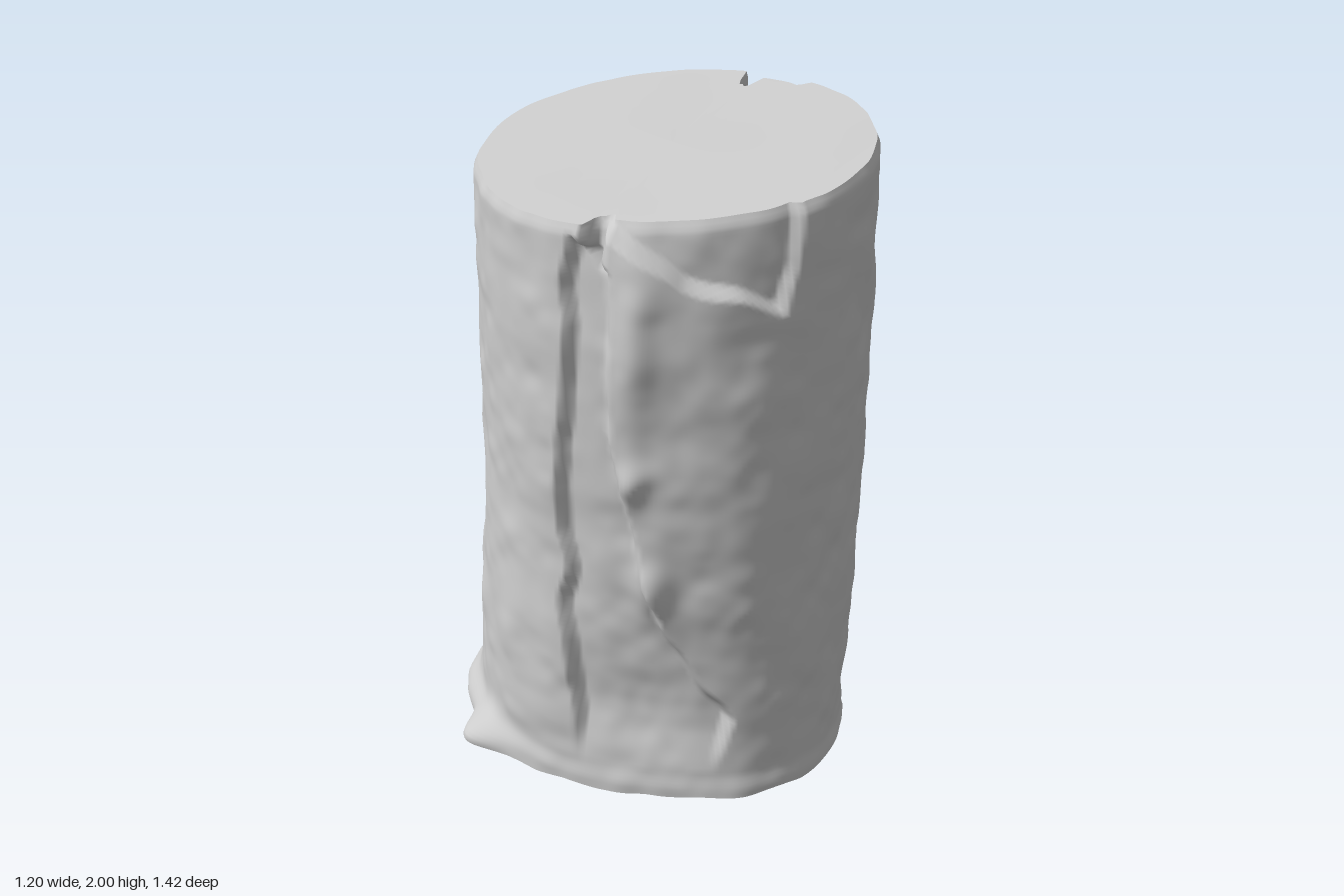
import * as THREE from 'three';

const SEG = 280, ROWS = 150;
const RAD = Math.PI / 180, ARC = 0.58;   // ARC turns an angle into surface distance
const { lerp, smoothstep } = THREE.MathUtils;

// Outlines on the unrolled bark: [degrees from front towards +x, height]
const bareSide = [[84, 2.2], [84, 1.92], [88, 1.75], [88, 1.58], [84, 1.42], [81, 1.25], [75, 1.17], [67, 1.21],
  [56, 1.27], [55, 1.1], [52, 0.85], [57, 0.7], [60, 0.5], [68, 0.25], [90, 0.15], [95, 0.6], [94, 1.38],
  [102, 1.52], [101, 2.2]];
const topSlot = [[100, 2.2], [100, 1.75], [102, 1.5], [104, 1.5], [105, 1.75], [106, 2.2]];
const loosePlate = [[64, 0.2], [66, 0.45], [64, 0.65], [67, 0.77], [74, 0.86], [82, 0.885], [93, 0.85], [95, 0.6],
  [92, 0.2]];
const bareStrip = [[-77, 1.75], [-66, 1.68], [-65, 1.2], [-57, 0.9], [-50, 0.6], [-27, 0.28], [-32, 0.1],
  [-74, 0.08], [-78, 0.6], [-80, 1.25]];
const topChip = [[-70, 2.1], [-69, 1.8], [-46, 1.67], [-18, 1.59], [-15, 1.7], [-13, 2.1]];
const chipSlot = [[-76, 2.1], [-73, 1.72], [-69, 1.68], [-66, 2.1]];

// Local swellings and hollows: angle, height, angular reach, vertical reach, amount
const bumps = [
  // overall shape of the trunk
  [110, 0.75, 34, 0.85, 0.052], [105, 0, 22, 0.12, -0.05], [145, 0.1, 30, 0.5, 0.035],
  [180, 0.04, 30, 0.12, 0.03], [50, 0.9, 22, 0.6, 0.018], [-135, 0.95, 32, 0.65, -0.035],
  [-50, 0.25, 24, 0.55, -0.05], [-85, 0.8, 25, 0.35, -0.02],
  // splayed corners at the base
  [-111, 0.02, 8, 0.06, 0.095], [163, 0.02, 8, 0.07, 0.08], [-140, 0.02, 22, 0.06, 0.04],
  // knots and flaps
  [53, 1.47, 3, 0.06, 0.025], [-58, 1.08, 4, 0.06, 0.03], [-58, 1.5, 6, 0.25, 0.035],
  [-52, 0.72, 6, 0.1, 0.04], [128, 0.3, 6, 0.12, 0.015], [-100, 0.5, 6, 0.15, 0.012],
  [58, 0.9, 4, 0.25, 0.015],
];

// Signed distance to an outline, positive inside
function insideBy(outline, deg, y) {
  const px = deg * RAD * ARC;
  let inside = false, best = Infinity;
  for (let i = 0, j = outline.length - 1; i < outline.length; j = i++) {
    const ax = outline[i][0] * RAD * ARC, ay = outline[i][1];
    const bx = outline[j][0] * RAD * ARC, by = outline[j][1];
    if ((ay > y) !== (by > y) && px < ((bx - ax) * (y - ay)) / (by - ay) + ax) inside = !inside;
    const dx = bx - ax, dy = by - ay;
    const t = Math.min(1, Math.max(0, ((px - ax) * dx + (y - ay) * dy) / (dx * dx + dy * dy)));
    best = Math.min(best, Math.hypot(px - ax - t * dx, y - ay - t * dy));
  }
  return inside ? best : -best;
}
const patch = (outline, deg, y, soft = 0.012) => smoothstep(insideBy(outline, deg, y), -soft, soft);

// Seeded value noise in space, so that it closes around the trunk
function hash(x, y, z) {
  const s = Math.sin(x * 127.1 + y * 311.7 + z * 74.7) * 43758.5453;
  return s - Math.floor(s);
}
function noise(x, y, z) {
  const X = Math.floor(x), Y = Math.floor(y), Z = Math.floor(z);
  const u = smoothstep(x - X, 0, 1), v = smoothstep(y - Y, 0, 1), w = smoothstep(z - Z, 0, 1);
  const row = (b, c) => lerp(hash(X, b, c), hash(X + 1, b, c), u);
  const sheet = (c) => lerp(row(Y, c), row(Y + 1, c), v);
  return lerp(sheet(Z), sheet(Z + 1), w) * 2 - 1;
}

// Point on the bark: i around the trunk, v from the base (0) to the cut (1)
function barkPoint(i, v) {
  let deg = (i / SEG) * 360;
  if (deg > 180) deg -= 360;
  const s = Math.sin(deg * RAD), c = Math.cos(deg * RAD);
  const rx = 0.535 + 0.02 * Math.sin(v * Math.PI), rz = 0.627;
  const cz = lerp(0, 0.06, v);
  const bottom = 0.035 + 0.025 * s + 0.008 * noise(s * 5, 3, c * 5);
  const y = lerp(bottom, 1.9 + 0.19 * s * rx, v);

  let d = 0.007 * noise(s * 2.5 + 9, y * 4, c * 2.5) + 0.006 * noise(s * 5, y * 9 + 5, c * 5)
    + 0.003 * noise(s * 10, y * 18, c * 10);
  for (const [a, h, ra, rh, amount] of bumps) {
    const da = ((deg - a + 540) % 360) - 180;
    d += amount * Math.exp(-((da / ra) ** 2) - ((y - h) / rh) ** 2);
  }
  // Bark edges wander a little
  const wd = deg + 1.8 * noise(s * 5, y * 8, c * 5 + 20);
  const wy = y + 0.025 * noise(s * 6 + 30, y * 6, c * 6);
  d -= patch(bareSide, wd, wy) * lerp(0.08, 0.04, smoothstep(y, 1.3, 1.85)) * smoothstep(y, 0.12, 0.5);
  d += patch(loosePlate, wd, wy, 0.018) * 0.065 * smoothstep(y, 0.28, 0.62);
  d -= patch(topSlot, wd, y) * 0.1;
  d -= patch(bareStrip, wd, wy) * 0.04 * smoothstep(y, 0.08, 0.32);
  d -= patch(topChip, deg, wy) * lerp(0.045, 0.03, smoothstep(deg, -40, -15));
  d -= patch(chipSlot, deg, y) * 0.06;
  d += 0.012 * (1 - smoothstep(y, 0.04, 0.1));    // lip at the base
  d -= 0.012 * smoothstep(v, 0.98, 1) ** 2;       // worn upper rim
  const x = (rx + d) * s;
  return new THREE.Vector3(x, y + 0.19 * v * (x - rx * s), cz + (rz + d) * c);
}

// Joins closed rings of points into a smooth skin
function skin(rings, flip) {
  const pos = [], idx = [];
  rings.forEach((ring) => ring.forEach((p) => pos.push(p.x, p.y, p.z)));
  for (let r = 0; r < rings.length - 1; r++) {
    for (let i = 0; i < SEG; i++) {
      const a = r * SEG + i, b = r * SEG + ((i + 1) % SEG), c = a + SEG, d = b + SEG;
      if (flip) idx.push(a, c, b, b, c, d);
      else idx.push(a, b, c, b, d, c);
    }
  }
  const g = new THREE.BufferGeometry();
  g.setAttribute('position', new THREE.Float32BufferAttribute(pos, 3));
  g.setIndex(idx);
  g.computeVertexNormals();
  return g;
}

// End face: the rim ring shrunk in steps to a centre, with a slight relief
function endFace(rim, centre, relief, flip) {
  const rings = [1, 0.97, 0.9, 0.75, 0.55, 0.3, 0.001].map((k) => rim.map((p) => {
    const q = centre.clone().lerp(p, k);
    q.y += relief * noise(q.x * 4, 1, q.z * 4) * (1 - k);
    return q;
  }));
  return skin(rings, flip);
}

export function createModel() {
  const group = new THREE.Group();
  group.name = 'log';
  const material = new THREE.MeshStandardMaterial({ color: 0xcccccc, side: THREE.DoubleSide });
  const add = (name, geometry) => {
    const mesh = new THREE.Mesh(geometry, material);
    mesh.name = name;
    group.add(mesh);
  };

  const rings = [];
  for (let r = 0; r <= ROWS; r++) {
    rings.push(Array.from({ length: SEG }, (_, i) => barkPoint(i, r / ROWS)));
  }
  add('bark', skin(rings, false));

  // Slanted sawn top and slightly hollow underside
  add('sawnTop', endFace(rings[ROWS], new THREE.Vector3(0, 1.9, 0.06), 0.006, false));
  add('underside', endFace(rings[0], new THREE.Vector3(0, 0.05, 0), 0.01, true));
  return group;
}
